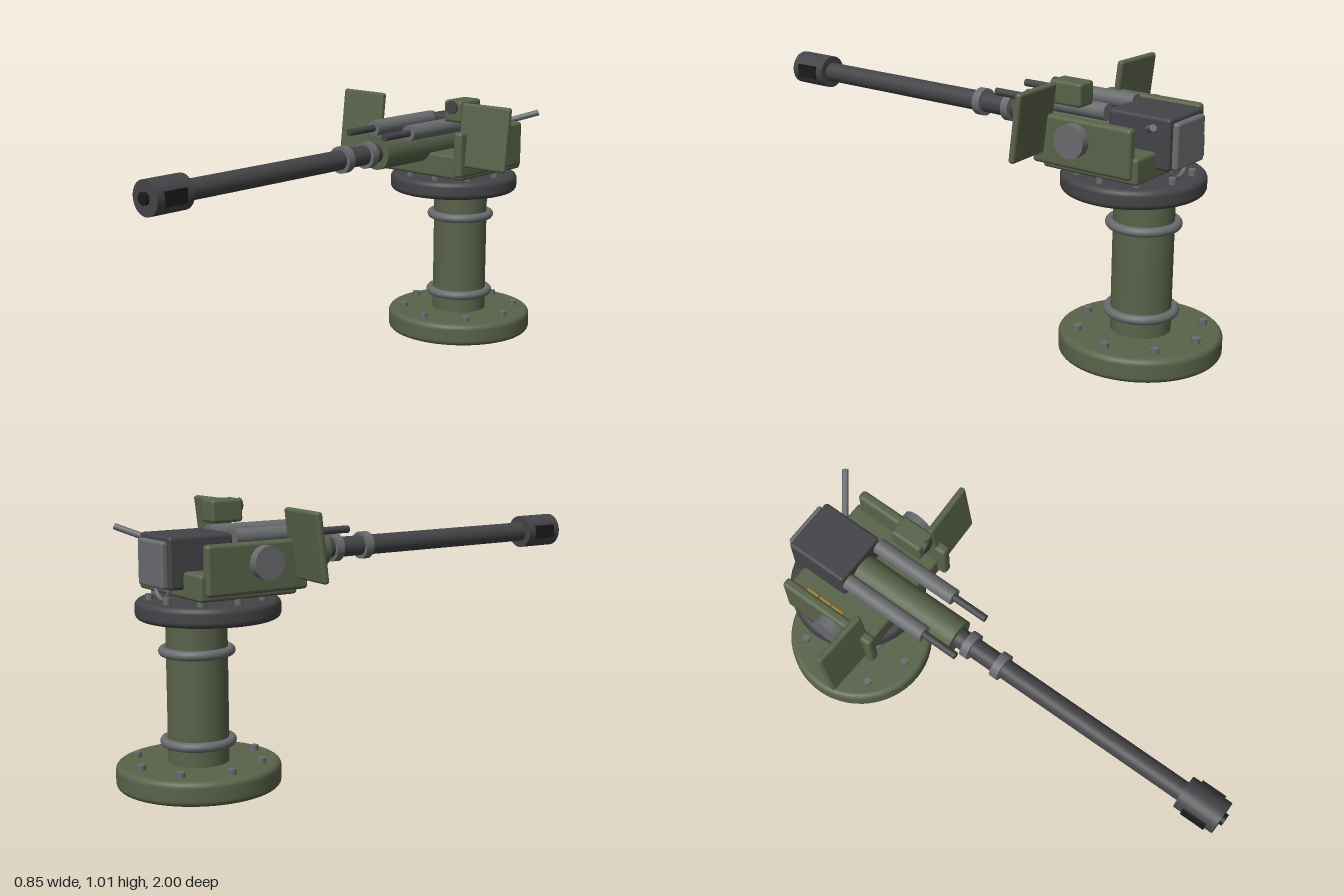
import * as THREE from 'three';
import { RoundedBoxGeometry } from 'three/addons/geometries/RoundedBoxGeometry.js';

const paint = (name, color) => {
  const m = new THREE.MeshStandardMaterial({ color });
  m.name = name;
  return m;
};

export function createModel() {
  const olive = paint('olive paint', 0x59634a);
  const dark = paint('dark steel', 0x444448);
  const steel = paint('grey steel', 0x696b6e);
  const black = paint('black', 0x1a1a1a);
  const brass = paint('brass', 0xa8873f);

  const model = new THREE.Group();
  model.name = 'deckGun';

  const add = (name, geometry, material, x, y, z) => {
    const mesh = new THREE.Mesh(geometry, material);
    mesh.name = name;
    mesh.position.set(x, y, z);
    model.add(mesh);
    return mesh;
  };
  const box = (name, mat, w, h, d, x, y, z, r = 0.012) =>
    add(name, new RoundedBoxGeometry(w, h, d, 3, r), mat, x, y, z);
  const upright = (name, mat, r, y0, y1, x, z, sides = 40) =>
    add(name, new THREE.CylinderGeometry(r, r, y1 - y0, sides), mat, x, (y0 + y1) / 2, z);
  // cylinder lying along z
  const along = (name, mat, r, z0, z1, x, y, sides = 32) => {
    const mesh = add(name, new THREE.CylinderGeometry(r, r, z1 - z0, sides), mat, x, y, (z0 + z1) / 2);
    mesh.rotation.x = Math.PI / 2;
    return mesh;
  };
  // disc with rounded rims
  const disc = (name, mat, r, y0, y1, z, round) => {
    const pts = [new THREE.Vector2(0, y0)];
    for (let i = 0; i <= 12; i++) {
      const a = -Math.PI / 2 + (i % 13) * Math.PI / 12;
      const cy = i < 6 ? y0 + round : y1 - round;
      if (i === 6) pts.push(new THREE.Vector2(r, y0 + round));
      pts.push(new THREE.Vector2(r - round + round * Math.cos(a), cy + round * Math.sin(a)));
    }
    pts.push(new THREE.Vector2(0, y1));
    return add(name, new THREE.LatheGeometry(pts, 56), mat, 0, 0, z);
  };
  const boltCircle = (name, mat, count, radius, r, y0, y1, z) => {
    for (let i = 0; i < count; i++) {
      const a = i / count * Math.PI * 2;
      upright(name, mat, r, y0, y1, radius * Math.cos(a), z + radius * Math.sin(a), 12);
    }
  };

  // Pedestal
  const pz = -0.703, tz = -0.653;
  disc('baseFlange', olive, 0.297, 0, 0.09, pz, 0.022);
  boltCircle('baseBolt', steel, 8, 0.232, 0.016, 0.085, 0.11, pz);
  upright('column', olive, 0.11, 0.08, 0.62, 0, pz, 48);
  for (const y of [0.166, 0.495]) {
    add('columnRing', new THREE.TorusGeometry(0.12, 0.0175, 14, 48), steel, 0, y, pz).rotation.x = Math.PI / 2;
  }
  disc('turntable', dark, 0.26, 0.608, 0.68, tz, 0.022);
  boltCircle('turntableBolt', steel, 10, 0.21, 0.014, 0.675, 0.703, tz);

  // Cradle, trunnions and shields
  box('cradleFloor', olive, 0.45, 0.095, 0.39, 0, 0.7475, -0.615);
  for (const s of [1, -1]) {
    box('cradleSide', olive, 0.04, 0.18, 0.405, s * 0.223, 0.807, -0.588, 0.014);
    const trunnion = add('trunnion', new THREE.CylinderGeometry(0.06, 0.06, 0.06, 36), steel, s * 0.25, 0.825, -0.565);
    trunnion.rotation.z = Math.PI / 2;
    const shield = box('shield', olive, 0.222, 0.25, 0.025, s * 0.314, 0.881, -0.44, 0.01);
    shield.rotation.set(-0.12, s * 0.04, 0);
  }

  // Breech
  box('breechBlock', dark, 0.22, 0.185, 0.25, 0, 0.825, -0.737, 0.012);
  box('breechPlate', steel, 0.18, 0.165, 0.03, 0, 0.818, -0.868, 0.01);
  add('gripRing', new THREE.TorusGeometry(0.05, 0.008, 10, 32), steel, 0, 0.737, -0.835);
  const lever = new THREE.LineCurve3(new THREE.Vector3(0.1, 0.868, -0.77), new THREE.Vector3(0.255, 0.925, -0.885));
  const leverLength = lever.getLength();
  const mid = lever.getPoint(0.5);
  add('cockingLever', new THREE.CylinderGeometry(0.012, 0.012, leverLength, 16), steel, mid.x, mid.y, mid.z)
    .quaternion.setFromUnitVectors(new THREE.Vector3(0, 1, 0), lever.getTangent(0));

  // Barrel
  const by = 0.82;
  along('barrelSleeve', olive, 0.066, -0.63, -0.163, 0, by, 40);
  along('barrel', dark, 0.038, -0.2, 0.84, 0, by);
  along('barrelBand', steel, 0.052, -0.125, -0.093, 0, by);
  along('barrelBand', steel, 0.052, 0.01, 0.043, 0, by);
  along('muzzleBrake', dark, 0.064, 0.825, 0.987, 0, by, 40);
  along('bore', black, 0.023, 0.95, 1.0, 0, by, 24);
  for (const s of [1, -1]) {
    add('muzzleSlot', new THREE.BoxGeometry(0.012, 0.053, 0.098), black, s * 0.061, by, 0.907);
  }

  // Recoil cylinders
  for (const s of [1, -1]) {
    along('recoilCylinder', steel, 0.031, -0.6, -0.25, s * 0.09, 0.897, 28);
    along('recoilRod', dark, 0.014, -0.27, -0.108, s * 0.09, 0.897, 16);
  }

  // Sight
  box('sightBox', olive, 0.085, 0.086, 0.13, 0.163, 0.969, -0.495, 0.012);
  along('sightLens', dark, 0.026, -0.45, -0.42, 0.163, 0.985, 24);

  // Cartridges on the cradle floor
  for (let i = 0; i < 3; i++) {
    const z = -0.709 + i * 0.058;
    along('cartridge', brass, 0.016, z - 0.026, z + 0.026, -0.18, 0.794, 16);
  }

  return model;
}
